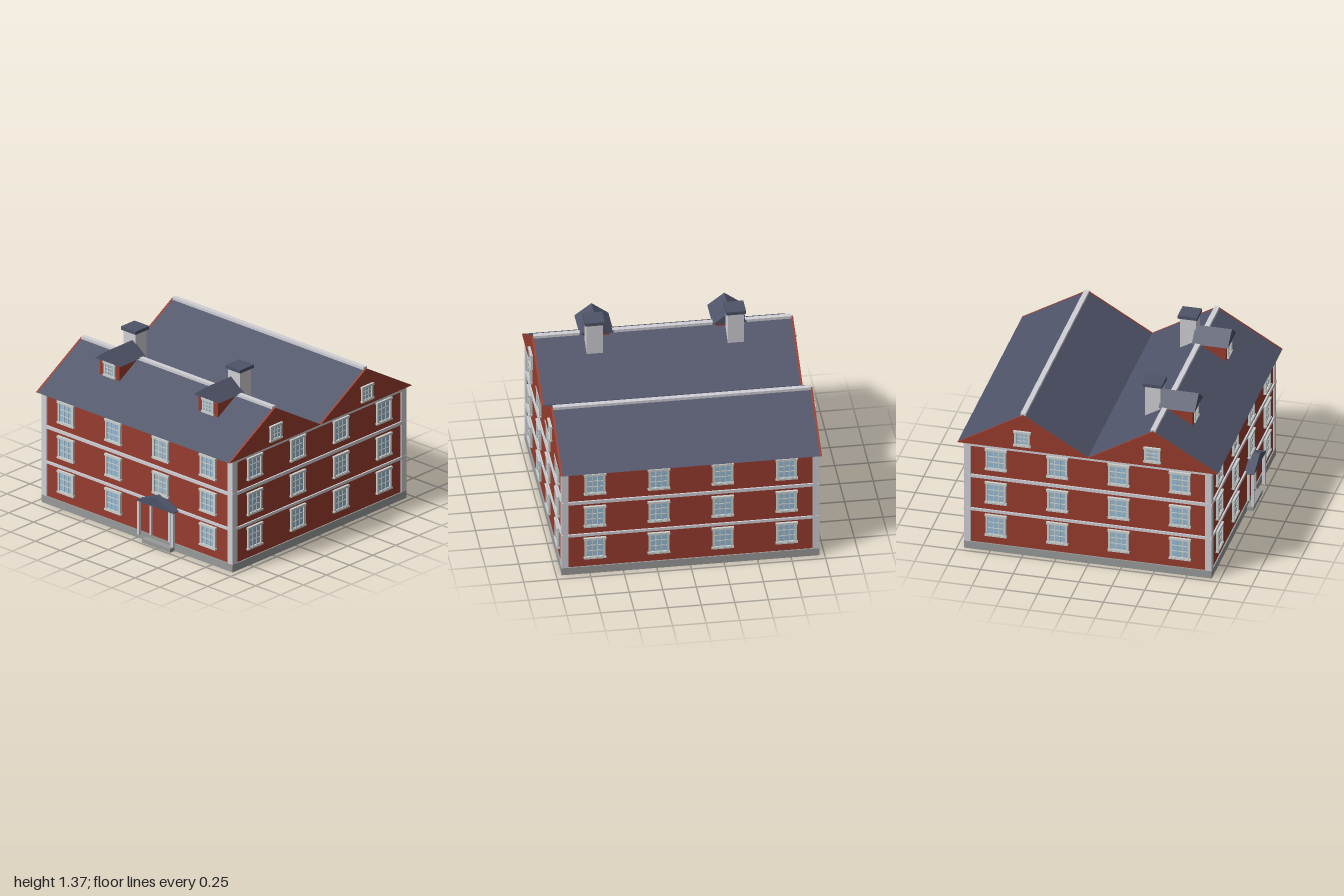
import * as THREE from 'three';

const mat = (name, color) => {
  const m = new THREE.MeshStandardMaterial({ color });
  m.name = name;
  return m;
};

export function createModel() {
  const brick = mat('brick red', 0x983c2e);
  const white = mat('trim white', 0xd0d0d6);
  const frame = mat('window frame', 0xcbd0ce);
  const slate = mat('roof slate', 0x4e5368);
  const stone = mat('base stone', 0x999a9a);
  const glass = mat('window glass', 0x96bbd4);

  const model = new THREE.Group();
  model.name = 'house';
  const ZC = -0.006; // middle of the main block
  const HX = 0.95, HZ = 0.932; // wall half sizes

  const add = (name, geo, material, parent = model) => {
    const m = new THREE.Mesh(geo, material);
    m.name = name;
    parent.add(m);
    return m;
  };
  // Box given by its extents
  const box = (name, material, x0, x1, y0, y1, z0, z1, parent = model) => {
    const m = add(name, new THREE.BoxGeometry(x1 - x0, y1 - y0, z1 - z0), material, parent);
    m.position.set((x0 + x1) / 2, (y0 + y1) / 2, (z0 + z1) / 2);
    return m;
  };
  // Triangular prism, ridge along z, from z = 0 to z = depth
  const prism = (halfWidth, height, depth, lip = 0) => {
    const s = new THREE.Shape();
    s.moveTo(-halfWidth, 0);
    s.lineTo(halfWidth, 0);
    if (lip) s.lineTo(halfWidth, lip);
    s.lineTo(0, height);
    if (lip) s.lineTo(-halfWidth, lip);
    s.closePath();
    return new THREE.ExtrudeGeometry(s, { depth, bevelEnabled: false });
  };

  // Main block: walls, base, corner pilasters, bands and frieze
  box('walls', brick, -HX, HX, 0.03, 0.893, ZC - HZ, ZC + HZ);
  box('base', stone, -0.96, 0.96, 0, 0.06, ZC - 0.942, ZC + 0.942);
  for (const sx of [-1, 1]) for (const sz of [-1, 1]) {
    const p = box('cornerPilaster', white, -0.025, 0.025, 0.06, 0.87, -0.025, 0.025);
    p.position.x = sx * 0.935;
    p.position.z = ZC + sz * 0.917;
  }
  for (const [name, y0, y1] of [['lowerBand', 0.325, 0.346], ['upperBand', 0.605, 0.63], ['frieze', 0.87, 0.894]])
    box(name, white, -0.962, 0.962, y0, y1, ZC - 0.944, ZC + 0.944);

  // Window facing +z, centred on the wall surface
  const makeWindow = (name, w, h, d = 0.017) => {
    const g = new THREE.Group();
    g.name = name;
    const t = 0.017, ow = w / 2 - 0.006, oh = h / 2;
    const s = new THREE.Shape();
    s.moveTo(-ow, -oh).lineTo(ow, -oh).lineTo(ow, oh).lineTo(-ow, oh).closePath();
    const iw = ow - t, ih = oh - t;
    const hole = new THREE.Path();
    hole.moveTo(-iw, -ih).lineTo(-iw, ih).lineTo(iw, ih).lineTo(iw, -ih).closePath();
    s.holes.push(hole);
    add('casing', new THREE.ExtrudeGeometry(s, { depth: d, bevelEnabled: false }), frame, g);
    box('glass', glass, -iw, iw, -ih, ih, 0, 0.006, g);
    box('lintel', frame, -w / 2, w / 2, oh - 0.015, oh + 0.002, 0, d + 0.004, g);
    box('sill', frame, -w / 2, w / 2, -oh - 0.002, -oh + 0.012, 0, d + 0.004, g);
    for (const k of [-1, 1]) {
      const x = k * iw / 3, y = k * ih / 3;
      box('uprightBar', frame, x - 0.003, x + 0.003, -ih, ih, 0.004, 0.011, g);
      box('crossBar', frame, -iw, iw, y - 0.003, y + 0.003, 0.004, 0.011, g);
    }
    return g;
  };
  const place = (g, x, y, z, turn = 0, parent = model) => {
    g.position.set(x, y, z);
    g.rotation.y = turn;
    parent.add(g);
  };

  // Three floors of windows on all four walls
  const PORCH_X = 0.235;
  [0.218, 0.493, 0.775].forEach((y, floor) => {
    for (let i = 0; i < 4; i++) {
      const x = (i - 1.5) * 0.476 - 0.003, z = ZC + (i - 1.5) * 0.467;
      if (!(floor === 0 && i === 2)) place(makeWindow('frontWindow', 0.166, 0.176), x, y, ZC + HZ);
      place(makeWindow('backWindow', 0.166, 0.176), x, y, ZC - HZ, Math.PI);
      place(makeWindow('leftWindow', 0.166, 0.176), HX, y, z, Math.PI / 2);
      place(makeWindow('rightWindow', 0.166, 0.176), -HX, y, z, -Math.PI / 2);
    }
  });

  // Twin roofs with brick gables, ridge caps and gable windows
  const EAVE = 0.894, RISE = 0.291, HALF = 0.495;
  for (const sz of [-1, 1]) {
    const z = ZC + sz * HALF;
    const roof = add('roof', prism(HALF, RISE, 1.92), slate);
    roof.rotation.y = Math.PI / 2;
    roof.position.set(-0.96, EAVE, z);
    box('ridgeCap', white, -0.96, 0.96, 1.16, 1.195, z - 0.019, z + 0.019);
    for (const sx of [-1, 1]) {
      const gable = add('gable', prism(HALF, RISE + 0.001, 0.016), brick);
      gable.rotation.y = Math.PI / 2;
      gable.position.set(sx > 0 ? 0.958 : -0.974, EAVE, z);
      place(makeWindow('gableWindow', 0.132, 0.124, 0.015), sx * 0.974, 0.993, z, sx * Math.PI / 2);
    }
  }

  // Dormers and chimneys, mirrored
  for (const sx of [-1, 1]) {
    const dormer = new THREE.Group();
    dormer.name = 'dormer';
    dormer.position.x = sx * 0.495;
    model.add(dormer);
    box('dormerWalls', brick, -0.098, 0.098, 1.062, 1.195, 0.46, 0.698, dormer);
    const cap = add('dormerRoof', prism(0.127, 0.095, 0.275), slate, dormer);
    cap.position.set(0, 1.19, 0.445);
    place(makeWindow('dormerWindow', 0.124, 0.114, 0.01), 0, 1.124, 0.698, 0, dormer);

    const chimney = new THREE.Group();
    chimney.name = 'chimney';
    chimney.position.set(sx * 0.526, 0, 0.392);
    model.add(chimney);
    box('chimneyShaft', white, -0.061, 0.061, 1.06, 1.345, -0.06, 0.06, chimney);
    box('chimneyCap', slate, -0.074, 0.074, 1.342, 1.368, -0.074, 0.074, chimney);
  }

  // Porch: step, door with frame, columns and small gabled roof
  const porch = new THREE.Group();
  porch.name = 'porch';
  porch.position.x = PORCH_X;
  model.add(porch);
  box('step', stone, -0.14, 0.14, 0, 0.032, 0.9, 0.984, porch);
  box('door', brick, -0.086, 0.086, 0.06, 0.302, 0.92, 0.934, porch);
  for (const s of [-1, 1]) {
    box('doorJamb', white, s * 0.094 - 0.009, s * 0.094 + 0.009, 0.06, 0.305, 0.92, 0.945, porch);
    box('column', white, s * 0.169 - 0.012, s * 0.169 + 0.012, 0.062, 0.334, 0.976, 0.998, porch);
  }
  box('doorLintel', white, -0.103, 0.103, 0.3, 0.325, 0.92, 0.947, porch);
  const porchRoof = add('porchRoof', prism(0.184, 0.085, 0.08, 0.006), slate, porch);
  porchRoof.position.set(0, 0.331, 0.92);

  return model;
}
